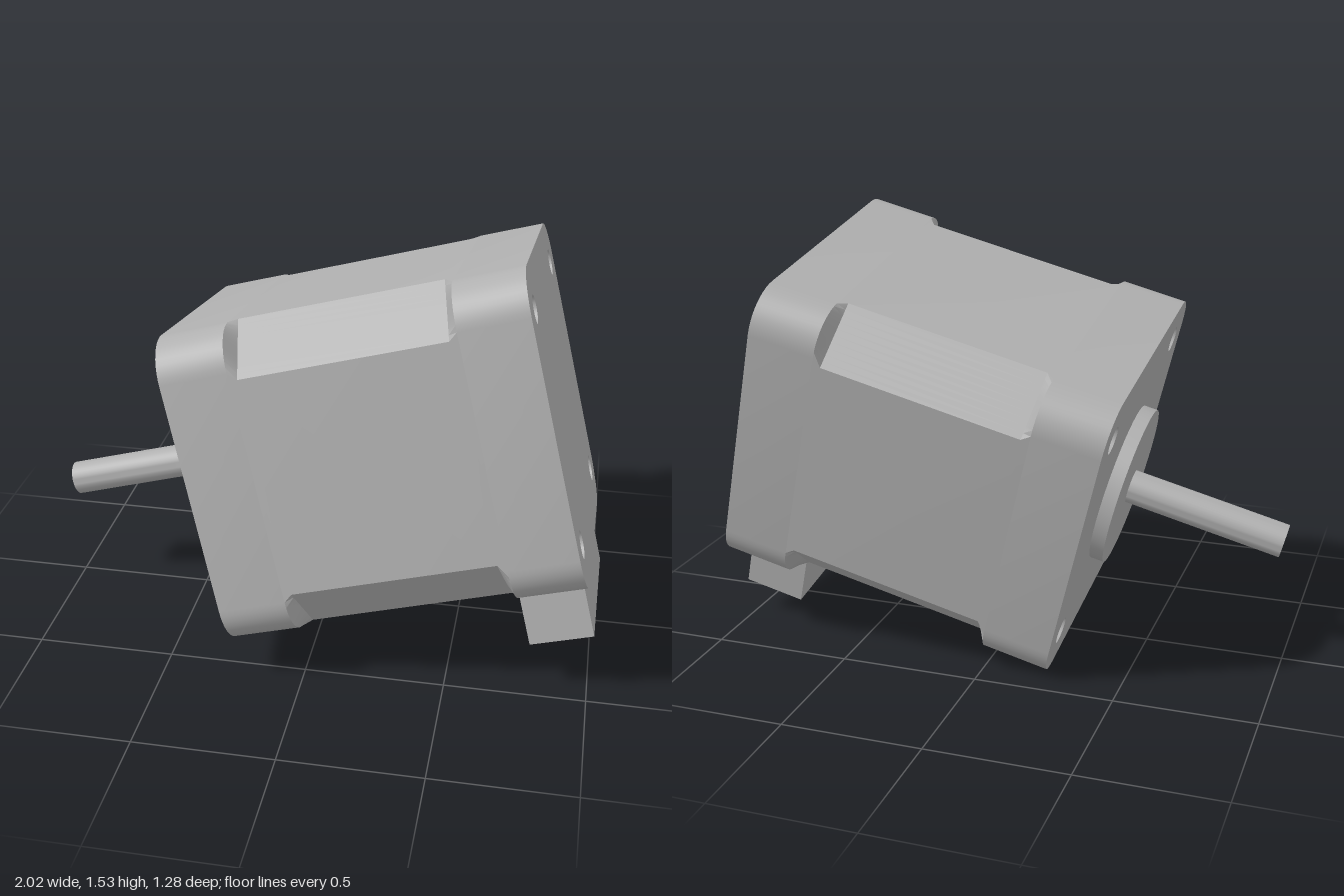
import * as THREE from 'three';
import { toCreasedNormals } from 'three/addons/utils/BufferGeometryUtils.js';

const H = 0.555;      // half width of the square body
const R = 0.145;      // rounded corner radius of the end caps
const C = 0.17;       // chamfer of the middle section
const LEN = 1.255;    // body length
const CAP = 0.24;     // end cap length
const RAMP = 0.03;    // slope between cap and chamfer
const HOLE = 0.409;   // screw hole offset
const ARC = 10;       // segments per corner

// Square outline with rounded or chamfered corners, counter-clockwise
function outline(chamfered) {
  const pts = [];
  for (let q = 0; q < 4; q++) {
    for (let i = 0; i <= ARC; i++) {
      const t = i / ARC, a = t * Math.PI / 2;
      const p = chamfered
        ? new THREE.Vector2(H - C * t, H - C * (1 - t))
        : new THREE.Vector2(H - R + R * Math.cos(a), H - R + R * Math.sin(a));
      pts.push(p.rotateAround(new THREE.Vector2(), q * Math.PI / 2));
    }
  }
  return pts;
}

// Skin through equal-sized outlines at given depths
function loft(rings) {
  const pos = [], idx = [], n = rings[0].pts.length;
  rings.forEach(({ pts, z }) => pts.forEach(p => pos.push(p.x, p.y, z)));
  for (let r = 0; r < rings.length - 1; r++) {
    for (let i = 0; i < n; i++) {
      const a = r * n + i, b = r * n + (i + 1) % n;
      idx.push(a, b, b + n, a, b + n, a + n);
    }
  }
  const g = new THREE.BufferGeometry();
  g.setAttribute('position', new THREE.Float32BufferAttribute(pos, 3));
  g.setIndex(idx);
  return g;
}

export function createModel() {
  const metal = new THREE.MeshStandardMaterial({ color: 0xb0b0b0 });
  metal.name = 'grey metal';
  const motor = new THREE.Group();
  motor.name = 'motor';

  function add(name, geometry, x = 0, y = 0, z = 0) {
    const mesh = new THREE.Mesh(toCreasedNormals(geometry, 0.5), metal);
    mesh.name = name;
    mesh.position.set(x, y, z);
    motor.add(mesh);
    return mesh;
  }

  const round = outline(false), cut = outline(true);

  // End caps with four screw holes each
  const capShape = new THREE.Shape(round);
  for (const sx of [-1, 1]) for (const sy of [-1, 1]) {
    capShape.holes.push(new THREE.Path().absarc(sx * HOLE, sy * HOLE, 0.048, 0, Math.PI * 2, true));
  }
  const capOptions = { depth: CAP, bevelEnabled: false, curveSegments: 12 };
  add('backCap', new THREE.ExtrudeGeometry(capShape, capOptions));
  add('frontCap', new THREE.ExtrudeGeometry(capShape, capOptions), 0, 0, LEN - CAP);

  // Middle section, ramping into chamfered corners
  add('middleBody', loft([
    { pts: round, z: CAP },
    { pts: cut, z: CAP + RAMP },
    { pts: cut, z: LEN - CAP - RAMP },
    { pts: round, z: LEN - CAP },
  ]));

  // Floors of the screw holes
  const floor = new THREE.ShapeGeometry(new THREE.Shape(cut));
  add('frontHoleFloor', floor, 0, 0, LEN - CAP);
  add('backHoleFloor', floor.clone().rotateY(Math.PI), 0, 0, CAP);

  // Round boss and shaft on the front
  const rod = (r, len) => new THREE.CylinderGeometry(r, r, len, 40).rotateX(Math.PI / 2);
  add('boss', rod(0.292, 0.07), 0, 0, LEN + 0.015);
  add('shaft', rod(0.061, 0.66), 0, 0, LEN + 0.3);

  // Connector block under the back end
  add('connector', new THREE.BoxGeometry(0.72, 0.26, 0.225), 0, -0.635, 0.1375);

  // Tilted resting pose, origin at the middle of the back face
  const side = new THREE.Vector3(-0.017, 0.177, 0.984).normalize();
  const up = new THREE.Vector3(-0.26, 0.948, -0.183);
  up.addScaledVector(side, -up.dot(side)).normalize();
  const axis = new THREE.Vector3().crossVectors(side, up);
  motor.quaternion.setFromRotationMatrix(new THREE.Matrix4().makeBasis(side, up, axis));
  motor.position.set(0.84, 0.93, -0.016);

  const model = new THREE.Group();
  model.name = 'model';
  model.add(motor);
  return model;
}
